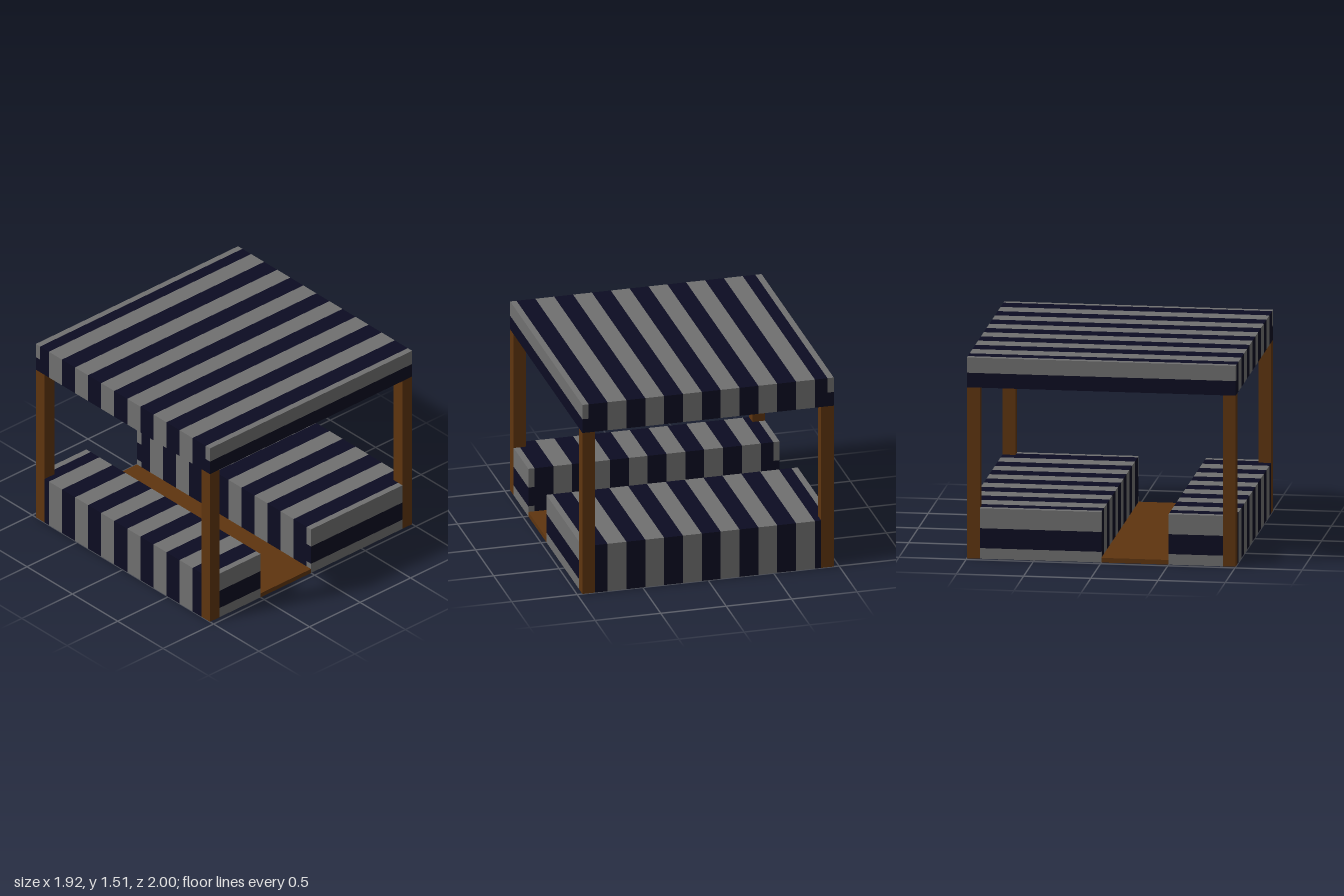
import * as THREE from 'three';

const navy = new THREE.MeshStandardMaterial({ color: 0x0c0c22 });
navy.name = 'navy cloth';
const grey = new THREE.MeshStandardMaterial({ color: 0x707070 });
grey.name = 'grey cloth';
const wood = new THREE.MeshStandardMaterial({ color: 0x5f350f });
wood.name = 'brown wood';

const X = 0.96, Z = 1, T = 0.048, POST = 0.096, STRIPE = 0.144;
const ROOF_LOW = 1.29, ROOF_TOP = 1.515;

// Box given by its limits on each axis
function box(parent, name, mat, [x0, x1], [y0, y1], [z0, z1]) {
  const mesh = new THREE.Mesh(new THREE.BoxGeometry(x1 - x0, y1 - y0, z1 - z0), mat);
  mesh.position.set((x0 + x1) / 2, (y0 + y1) / 2, (z0 + z1) / 2);
  mesh.name = name;
  parent.add(mesh);
}

// Row of alternating blocks across x, clipped to the given range
function stripes(parent, name, [x0, x1], ys, zs) {
  for (let i = 0; i < 14; i++) {
    const a = Math.max(x0, -X + i * STRIPE), b = Math.min(x1, -X + (i + 1) * STRIPE);
    if (b - a > 0.001) box(parent, name, i % 2 ? grey : navy, [a, b], ys, zs);
  }
}

// Matching end panels on both sides, banded by height
function ends(parent, name, bands, zs) {
  for (const s of [-1, 1]) {
    const xs = s > 0 ? [X - T, X] : [-X, T - X];
    for (const [mat, y0, y1] of bands) box(parent, name, mat, xs, [y0, y1], zs);
  }
}

// Bench with its outer corners cut away for the posts
function bench(name, inner, s) {
  const g = new THREE.Group();
  g.name = name;
  const span = (a, b) => (a < b ? [a, b] : [b, a]);
  const H = [0, 0.38], notch = s * (Z - POST), w = X - POST;
  stripes(g, 'benchStripe', [-w, w], H, span(inner, s * Z));
  stripes(g, 'benchStripe', [w, X - T], H, span(inner, notch));
  stripes(g, 'benchStripe', [T - X, -w], H, span(inner, notch));
  ends(g, 'benchEnd', [[grey, 0, 0.08], [navy, 0.08, 0.23], [grey, 0.23, 0.38]], span(inner, notch));
  return g;
}

export function createModel() {
  const model = new THREE.Group();
  model.name = 'canopyBooth';

  // Benches and the floor between them
  model.add(bench('frontBench', 0.5, 1), bench('backBench', 0, -1));
  box(model, 'floor', wood, [-X, X], [0, 0.035], [0, 0.5]);

  // Canopy: striped top, hanging front and back edges, banded sides
  const canopy = new THREE.Group();
  canopy.name = 'canopy';
  model.add(canopy);
  const cloth = [T - X, X - T];
  stripes(canopy, 'canopyTop', cloth, [ROOF_TOP - T, ROOF_TOP], [-Z, Z]);
  const hang = [ROOF_LOW, ROOF_TOP - T];
  stripes(canopy, 'frontValance', cloth, hang, [Z - T, Z]);
  stripes(canopy, 'backValance', cloth, hang, [-Z, T - Z]);
  ends(canopy, 'sideValance', [[navy, ROOF_LOW, 1.4], [grey, 1.4, ROOF_TOP]], [-Z, Z]);

  // Corner posts, each with a cloth block inside the canopy
  for (const sx of [-1, 1]) for (const sz of [-1, 1]) {
    const xs = sx > 0 ? [X - POST, X] : [-X, POST - X];
    const zs = sz > 0 ? [Z - POST, Z] : [-Z, POST - Z];
    box(model, 'post', wood, xs, [0, ROOF_LOW], zs);
    const cx = sx > 0 ? [X - POST, X - T] : [T - X, POST - X];
    const cz = sz > 0 ? [Z - POST, Z - T] : [T - Z, POST - Z];
    box(canopy, 'cornerBlock', navy, cx, hang, cz);
  }
  return model;
}
